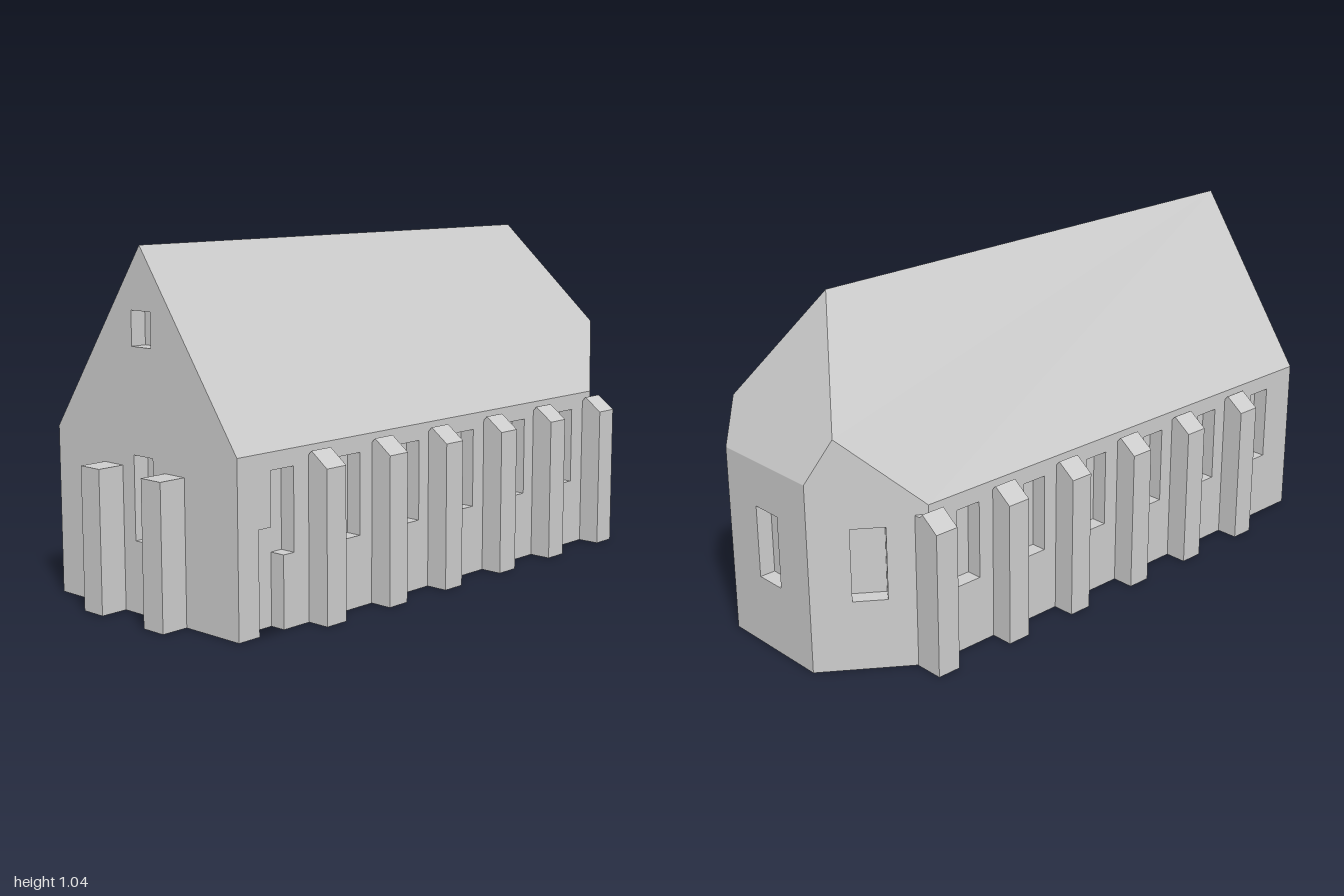
import * as THREE from 'three';

export function createModel() {
  const model = new THREE.Group();
  const chapel = new THREE.Group();
  chapel.name = 'chapel';
  chapel.position.set(-0.885, 0, 0.172);
  chapel.rotation.y = 0.1855;
  model.add(chapel);

  const stone = new THREE.MeshStandardMaterial({ color: 0xcccccc });
  stone.name = 'pale stone';

  const add = (name, geometry, parent = chapel) => {
    const mesh = new THREE.Mesh(geometry, stone);
    mesh.name = name;
    parent.add(mesh);
    return mesh;
  };
  const toShape = pts => new THREE.Shape(pts.map(p => new THREE.Vector2(...p)));

  // Flat convex face from its corners, counter-clockwise from outside
  const face = (name, corners) => {
    const pos = [];
    for (let i = 1; i < corners.length - 1; i++) pos.push(...corners[0], ...corners[i], ...corners[i + 1]);
    const g = new THREE.BufferGeometry();
    g.setAttribute('position', new THREE.Float32BufferAttribute(pos, 3));
    g.computeVertexNormals();
    return add(name, g);
  };

  // Plan: long nave with a three-sided apse at +x
  const W = 0.379, eave = 0.5, apseEave = 0.58, top = 1.04, naveL = 1.607;
  const plan = [[0, W], [naveL, W], [1.882, 0.185], [1.882, -0.185], [naveL, -W], [0, -W]];
  const depth = 0.05;

  // Wall from corner i to the next, with window recesses closed by a back panel.
  // topLine(L) runs from the far end back to the start.
  const wall = (name, i, topLine, windows, notch = []) => {
    const [x0, z0] = plan[i], [x1, z1] = plan[(i + 1) % plan.length];
    const L = Math.hypot(x1 - x0, z1 - z0);
    const group = new THREE.Group();
    group.name = name;
    group.position.set(x0, 0, z0);
    group.rotation.y = Math.atan2(z0 - z1, x1 - x0);
    chapel.add(group);
    const upper = topLine(L);
    const shape = toShape([[0, 0], ...notch, [L, 0], ...upper]);
    for (const [s, w, y0, y1] of windows(L)) {
      const h = w / 2;
      shape.holes.push(new THREE.Path([[s - h, y0], [s - h, y1], [s + h, y1], [s + h, y0]]
        .map(p => new THREE.Vector2(...p))));
    }
    add(name + ' masonry', new THREE.ExtrudeGeometry(shape, { depth, bevelEnabled: false }), group)
      .position.z = -depth;
    add(name + ' recess panel', new THREE.ShapeGeometry(toShape([[0, 0], [L, 0], ...upper])), group)
      .position.z = -depth + 0.001;
  };

  const bays = [0.165, 0.432, 0.689, 0.944, 1.203, 1.462];
  const naveWindow = s => [s, 0.084, 0.21, 0.45];
  const apseWindow = L => [[L / 2, 0.1, 0.217, 0.44]];
  const straight = h => L => [[L, h], [0, h]];

  // Front wall has a doorway merged with its first window
  wall('front wall', 0, straight(eave), () => bays.slice(1).map(naveWindow),
    [[0.076, 0], [0.076, 0.295], [0.122, 0.295], [0.122, 0.45], [0.2085, 0.45], [0.2085, 0.21], [0.168, 0.21], [0.168, 0]]);
  wall('back wall', 4, straight(eave), L => bays.map(s => naveWindow(L - s)));

  // Apse walls: the slanted ones rise to a peak under the hip
  const k = 0.755, peak = 0.709;
  wall('front apse wall', 1, L => [[L, apseEave], [k * L, peak], [0, eave]], apseWindow);
  wall('end apse wall', 2, straight(apseEave), apseWindow);
  wall('back apse wall', 3, L => [[L, eave], [(1 - k) * L, peak], [0, apseEave]], apseWindow);

  // Gable wall with a small upper opening
  wall('gable wall', 5, L => [[L, eave], [L / 2, top], [0, eave]],
    L => [[L / 2, 0.08, 0.21, 0.455], [L / 2, 0.08, 0.76, 0.86]]);

  // Roof planes
  const px = naveL + 0.275 * k, pz = W - 0.194 * k;
  const ridgeA = [0, top, 0], ridgeB = [1.642, top, 0];
  for (const s of [1, -1]) {
    const pts = [[0, eave, s * W], [naveL, eave, s * W], [px, peak, s * pz], ridgeB, ridgeA];
    face(s > 0 ? 'front roof slope' : 'back roof slope', s > 0 ? pts : pts.reverse());
  }
  face('apse roof', [ridgeB, [px, peak, pz], [1.882, apseEave, 0.185], [1.882, apseEave, -0.185], [px, peak, -pz]]);
  face('floor', plan.map(([x, z]) => [x, 0, z]).reverse());

  // Side buttresses with sloping caps, mirrored front to back
  const bw = 0.076;
  const profile = toShape([[-0.02, 0], [0.07, 0], [0.07, 0.442], [0.012, 0.485], [0, 0.472], [-0.02, 0.472]]);
  const buttress = new THREE.ExtrudeGeometry(profile, { depth: bw, bevelEnabled: false });
  buttress.translate(0, 0, -bw / 2);
  for (const u of [0.304, 0.562, 0.812, 1.075, 1.33, 1.602]) {
    for (const s of [1, -1]) {
      const b = add(s > 0 ? 'front buttress' : 'back buttress', buttress);
      b.position.set(u, 0, s * W);
      b.rotation.y = -s * Math.PI / 2;
    }
  }

  // Flat-topped buttresses on the gable end
  for (const z of [-0.13, 0.13]) {
    add('gable buttress', new THREE.BoxGeometry(0.105, 0.42, 0.08)).position.set(-0.0325, 0.21, z);
  }

  return model;
}
